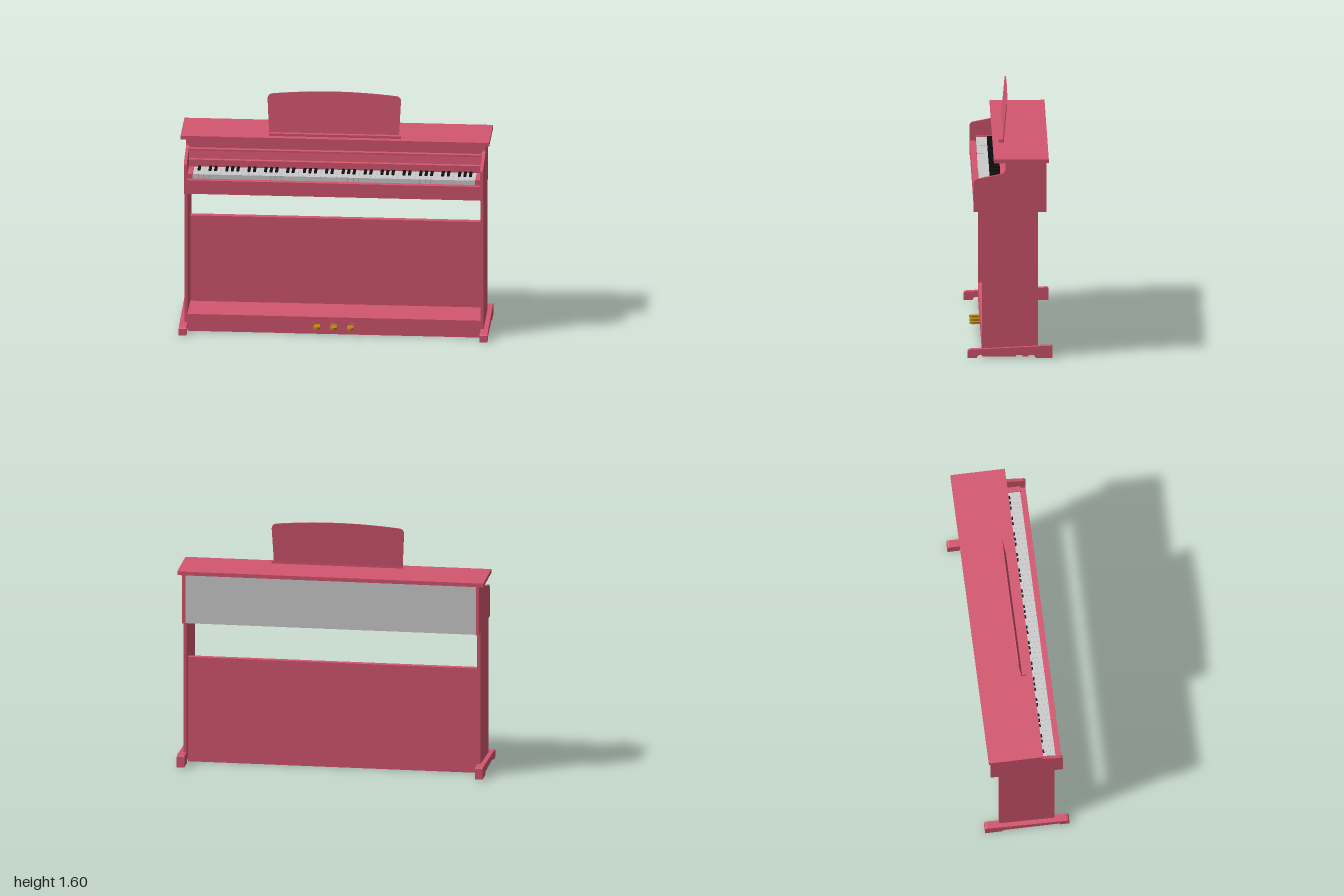
import * as THREE from 'three';

const paint = (color) => new THREE.MeshStandardMaterial({ color, roughness: 0.7 });

export function createModel() {
  const piano = new THREE.Group();
  piano.name = 'digitalPiano';
  const wood = paint(0xd4566f), grey = paint(0xcccccc), black = paint(0x111111), brass = paint(0xb8860b);

  function add(name, geometry, material = wood, parent = piano) {
    const mesh = new THREE.Mesh(geometry, material);
    mesh.name = name;
    parent.add(mesh);
    return mesh;
  }
  // Box given by its limits on each axis
  function box(name, x0, x1, y0, y1, z0, z1, material, parent) {
    const g = new THREE.BoxGeometry(x1 - x0, y1 - y0, z1 - z0);
    g.translate((x0 + x1) / 2, (y0 + y1) / 2, (z0 + z1) / 2);
    return add(name, g, material, parent);
  }
  // Profile of [z, y] points swept across from x0 to x1
  function sweep(name, points, x0, x1) {
    const shape = new THREE.Shape(points.map(([z, y]) => new THREE.Vector2(z, y)));
    const g = new THREE.ExtrudeGeometry(shape, { depth: x1 - x0, bevelEnabled: false });
    g.rotateY(-Math.PI / 2).translate(x1, 0, 0);
    return add(name, g);
  }

  // Sides: cheek, leg and foot, mirrored
  const cheek = [
    [-0.235, 0.955], [0.235, 0.955], [0.235, 1.15], [0.231, 1.163], [0.22, 1.171],
    [0.06, 1.204], [0.042, 1.21], [0.032, 1.222], [0.03, 1.235], [0.03, 1.283], [-0.235, 1.283],
  ];
  const foot = [
    [0.275, 0], [0.275, 0.044], [0.268, 0.051], [0.255, 0.055], [-0.262, 0.08], [-0.271, 0.077],
    [-0.275, 0.069], [-0.275, 0], [-0.165, 0], [-0.158, 0.014], [-0.15, 0.02],
    [0.2, 0.02], [0.21, 0.014], [0.217, 0],
  ];
  for (const [side, s] of [['left', 1], ['right', -1]]) {
    const span = (a, b) => (s > 0 ? [a, b] : [-b, -a]);
    sweep(side + 'Cheek', cheek, ...span(0.95, 0.97));
    box(side + 'Leg', ...span(0.95, 0.97), 0.05, 0.955, -0.18, 0.18);
    sweep(side + 'Foot', foot, ...span(0.95, 1));
    box(side + 'KeyBlock', ...span(0.916, 0.95), 1.045, 1.082, 0.02, 0.2);
  }

  // Case
  box('lid', -1, 1, 1.283, 1.308, -0.25, 0.105);
  box('backPanel', -0.95, 0.95, 0.957, 1.283, -0.23, -0.215, grey);
  box('frontRail', -0.95, 0.95, 0.957, 1.05, 0.195, 0.233);
  sweep('fallboard', [
    [0, 1.083], [0.055, 1.083], [0.055, 1.13], [0.04, 1.134], [0.03, 1.19], [0.05, 1.19],
    [0.05, 1.202], [0.02, 1.202], [0.02, 1.283], [0, 1.283],
  ], -0.95, 0.95);

  // Lower panel and pedal box
  box('lowerPanel', -0.95, 0.95, 0, 0.7, -0.12, -0.08);
  box('pedalBox', -0.95, 0.95, 0, 0.115, -0.04, 0.18);
  box('pedalBoxTop', -0.95, 0.95, 0.095, 0.115, -0.08, -0.04);

  // Keyboard, starting on A and ending on B
  const keyboard = new THREE.Group();
  keyboard.name = 'keyboard';
  piano.add(keyboard);
  const count = 51, pitch = 1.83 / count;
  for (let i = 0; i < count; i++) {
    const x = -0.915 + i * pitch;
    box('whiteKey', x + 0.0004, x + pitch - 0.0004, 1.048, 1.079, 0.02, 0.194, grey, keyboard);
    const sharp = ![1, 4].includes(i % 7) && i < count - 1;
    if (sharp) {
      const c = x + pitch;
      box('blackKey', c - 0.009, c + 0.009, 1.07, 1.091, 0.03, 0.125, black, keyboard);
    }
  }

  // Pedals with raised frames
  for (const x of [-0.108, 0, 0.108]) {
    const frame = new THREE.Shape();
    frame.moveTo(-0.029, -0.018).lineTo(0.029, -0.018).lineTo(0.029, 0.018).lineTo(-0.029, 0.018);
    const hole = new THREE.Path();
    hole.moveTo(-0.024, -0.013).lineTo(-0.024, 0.013).lineTo(0.024, 0.013).lineTo(0.024, -0.013);
    frame.holes.push(hole);
    const fg = new THREE.ExtrudeGeometry(frame, { depth: 0.003, bevelEnabled: false });
    add('pedalFrame', fg.translate(x, 0.057, 0.18));

    const outline = new THREE.Shape();
    outline.moveTo(-0.016, -0.17).lineTo(0.016, -0.17).lineTo(0.022, -0.225);
    outline.quadraticCurveTo(0.022, -0.25, 0, -0.25);
    outline.quadraticCurveTo(-0.022, -0.25, -0.022, -0.225);
    const pg = new THREE.ExtrudeGeometry(outline, { depth: 0.014, bevelEnabled: false });
    add('pedal', pg.rotateX(-Math.PI / 2).translate(x, 0.052, 0), brass);
  }

  // Music rest, leaning back behind its ledge
  box('musicLedge', -0.428, 0.425, 1.306, 1.325, 0.032, 0.066);
  const rest = new THREE.Shape();
  rest.moveTo(-0.43, 0).lineTo(0.41, 0).lineTo(0.422, 0.235);
  rest.quadraticCurveTo(0.424, 0.272, 0.39, 0.276);
  rest.quadraticCurveTo(-0.01, 0.318, -0.41, 0.276);
  rest.quadraticCurveTo(-0.444, 0.272, -0.442, 0.235);
  const rg = new THREE.ExtrudeGeometry(rest, { depth: 0.006, bevelEnabled: false, curveSegments: 16 });
  const musicRest = add('musicRest', rg);
  musicRest.position.set(0, 1.306, 0.034);
  musicRest.rotation.x = -0.09;

  return piano;
}
